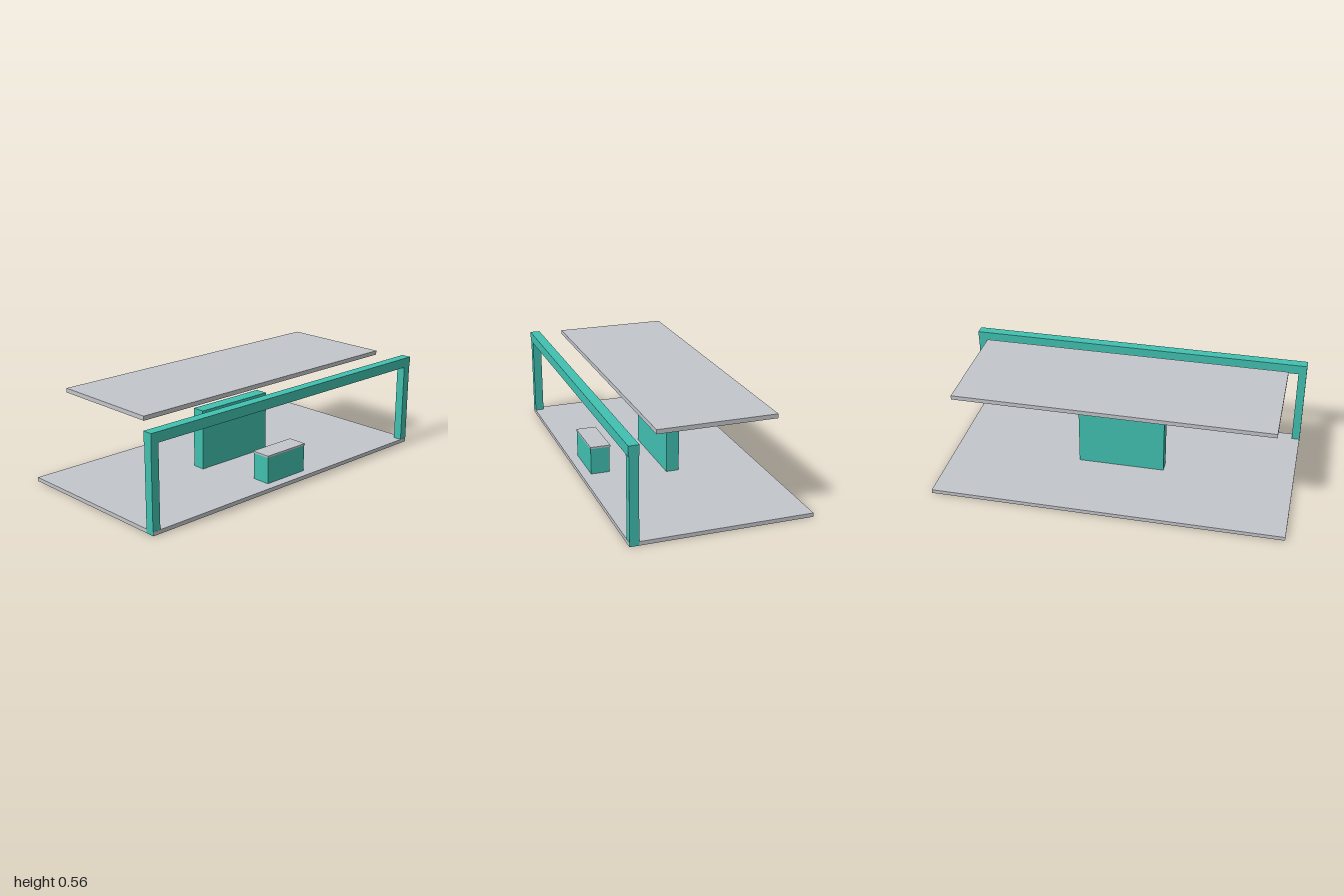
import * as THREE from 'three';

export function createModel() {
  const model = new THREE.Group();
  model.name = 'exhibitionStand';

  const teal = new THREE.MeshStandardMaterial({ color: 0x40c0b0 });
  teal.name = 'teal';
  const grey = new THREE.MeshStandardMaterial({ color: 0xc2c5ca });
  grey.name = 'lightGrey';

  // Box given by its [min, max] range on each axis
  function block(name, material, [x0, x1], [y0, y1], [z0, z1]) {
    const mesh = new THREE.Mesh(new THREE.BoxGeometry(x1 - x0, y1 - y0, z1 - z0), material);
    mesh.position.set((x0 + x1) / 2, (y0 + y1) / 2, (z0 + z1) / 2);
    mesh.name = name;
    model.add(mesh);
  }

  // Floor and floating canopy
  block('floor', grey, [-0.999, 0.999], [0, 0.022], [-0.5, 0.5]);
  block('canopy', grey, [-0.9, 0.9], [0.533, 0.557], [-0.325, 0.325]);

  // Central display wall
  block('displayWall', teal, [-0.25, 0.25], [0.021, 0.367], [-0.037, 0.037]);

  // Reception counter with worktop
  block('counter', teal, [-0.143, 0.143], [0.021, 0.174], [0.337, 0.445]);
  block('counterTop', grey, [-0.147, 0.147], [0.174, 0.184], [0.332, 0.447]);

  // Front entrance frame: two posts and a beam
  block('leftPost', teal, [0.953, 1], [0.001, 0.479], [0.449, 0.499]);
  block('rightPost', teal, [-1, -0.953], [0.001, 0.479], [0.449, 0.499]);
  block('beam', teal, [-1, 1], [0.479, 0.535], [0.445, 0.502]);

  return model;
}
